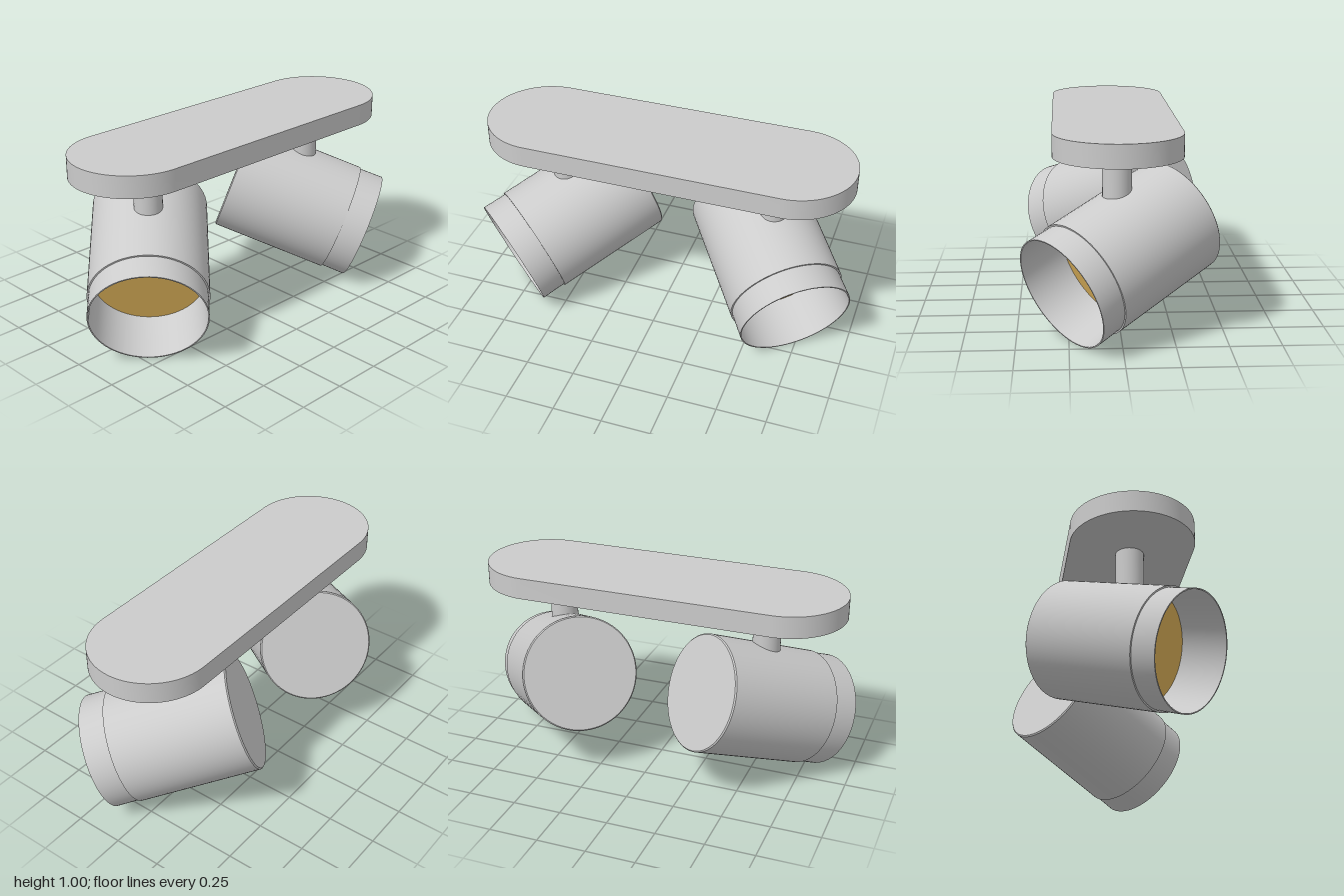
import * as THREE from 'three';
import { toCreasedNormals } from 'three/addons/utils/BufferGeometryUtils.js';

const grey = new THREE.MeshStandardMaterial({ color: 0xcccccc, side: THREE.DoubleSide });
const amber = new THREE.MeshStandardMaterial({ color: 0xe3b75c, side: THREE.DoubleSide });
const UP = new THREE.Vector3(0, 1, 0);

function part(name, geometry, material = grey) {
  const mesh = new THREE.Mesh(geometry, material);
  mesh.name = name;
  return mesh;
}

function lathe(points) {
  const profile = points.map(([r, y]) => new THREE.Vector2(r, y));
  return toCreasedNormals(new THREE.LatheGeometry(profile, 64), Math.PI / 6);
}

// Stadium-shaped ceiling plate
function createPlate() {
  const r = 0.3025, half = 0.9475 - r;
  const shape = new THREE.Shape();
  shape.absarc(half, 0, r, -Math.PI / 2, Math.PI / 2);
  shape.absarc(-half, 0, r, Math.PI / 2, Math.PI * 1.5);
  shape.closePath();
  const geo = new THREE.ExtrudeGeometry(shape, { depth: 0.11, bevelEnabled: false, curveSegments: 32 });
  geo.rotateX(-Math.PI / 2).translate(0.003, 0.893, 0.0175);
  return part('ceilingPlate', toCreasedNormals(geo, Math.PI / 6));
}

// Spot head, built along +y and then aimed
function createHead(name, x, yaw) {
  const head = new THREE.Group();
  head.name = name;
  const L = 0.38, step = L - 0.13, lensY = L - 0.25;
  head.add(part('housing', lathe([
    [0, -L], [0.288, -L], [0.294, -L + 0.006], [0.294, step], [0.286, step],
  ])));
  // Open front ring with its inner wall
  head.add(part('frontRing', lathe([
    [0.286, step], [0.288, L], [0.282, L], [0.274, lensY],
  ])));
  head.add(part('lens', new THREE.CircleGeometry(0.275, 64).rotateX(-Math.PI / 2).translate(0, lensY, 0), amber));

  const pitch = THREE.MathUtils.degToRad(20), a = THREE.MathUtils.degToRad(yaw);
  const aim = new THREE.Vector3(
    Math.cos(pitch) * Math.sin(a), -Math.sin(pitch), Math.cos(pitch) * Math.cos(a));
  head.quaternion.setFromUnitVectors(UP, aim);
  head.position.set(x, 0.402, 0);
  return head;
}

function createStem(name, x) {
  return part(name, new THREE.CylinderGeometry(0.07, 0.07, 0.28, 32).translate(x, 0.76, 0.0175));
}

export function createModel() {
  const model = new THREE.Group();
  model.name = 'twinSpotlight';
  model.add(
    createPlate(),
    createStem('rightStem', -0.55),
    createStem('leftStem', 0.555),
    createHead('rightSpot', -0.54, -42),
    createHead('leftSpot', 0.547, 37),
  );
  return model;
}
